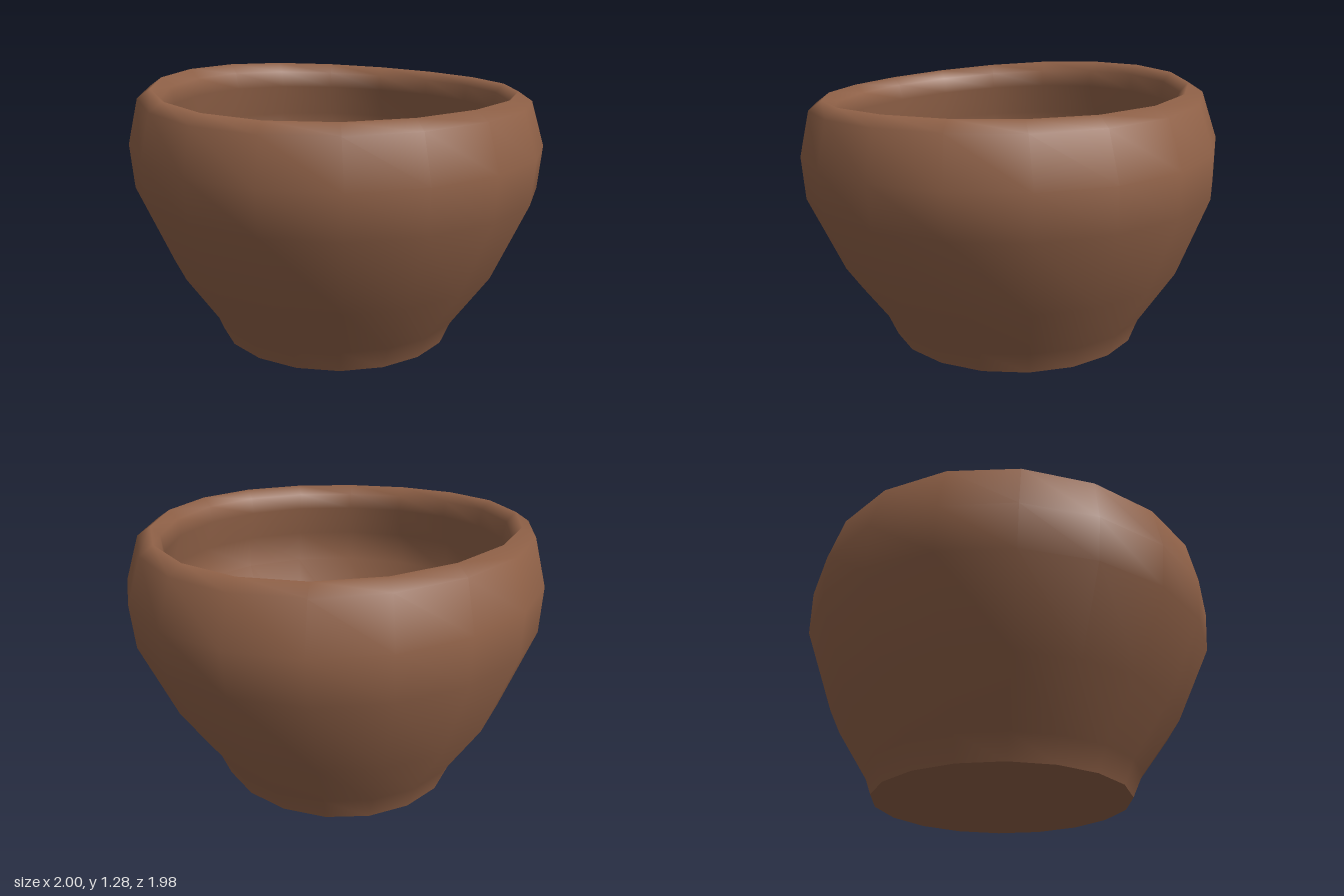
import * as THREE from 'three';
import { mergeVertices } from 'three/addons/utils/BufferGeometryUtils.js';

const SIDES = 18;

// Lathe a profile, then lean and stretch it slightly for a hand-thrown look
function thrown(points) {
  let geo = new THREE.LatheGeometry(points.map(([r, y]) => new THREE.Vector2(r, y)), SIDES, Math.PI / 2);
  geo.deleteAttribute('uv');
  geo.deleteAttribute('normal');
  const p = geo.attributes.position;
  for (let i = 0; i < p.count; i++) {
    const x = p.getX(i), y = p.getY(i), z = p.getZ(i);
    const low = Math.max(0, 1 - y / 0.97);
    const lip = Math.max(0, y - 0.98) / 0.2;
    p.setX(i, x - 0.01 * lip);
    p.setZ(i, z * (1.005 + 0.055 * low) - 0.035 * low + 0.013 * lip);
    // rim rises to the back, with a gentle twist across the corners
    p.setY(i, y * (1 - 0.034 * z - 0.007 * x + 0.025 * y * x * z));
  }
  geo = mergeVertices(geo, 1e-4);
  geo.computeVertexNormals();
  return geo;
}

export function createModel() {
  const group = new THREE.Group();
  const clay = new THREE.MeshStandardMaterial({ color: 0x916248 });
  clay.name = 'brown clay';

  const add = (name, points) => {
    const mesh = new THREE.Mesh(thrown(points), clay);
    mesh.name = name;
    group.add(mesh);
  };

  // Outer wall, thick rounded lip and hollow inside as one continuous skin
  add('bowl', [
    [0.583, 0], [0.63, 0.115], [0.815, 0.385], [0.982, 0.765], [1.0, 0.975],
    [0.94, 1.19], [0.875, 1.235], [0.832, 1.19], [0.815, 1.11],
    [0.87, 0.95], [0.87, 0.78], [0.72, 0.4], [0.48, 0.09], [0, 0.06],
  ]);

  // Flat underside
  add('base', [[0, 0], [0.583, 0]]);

  return group;
}
